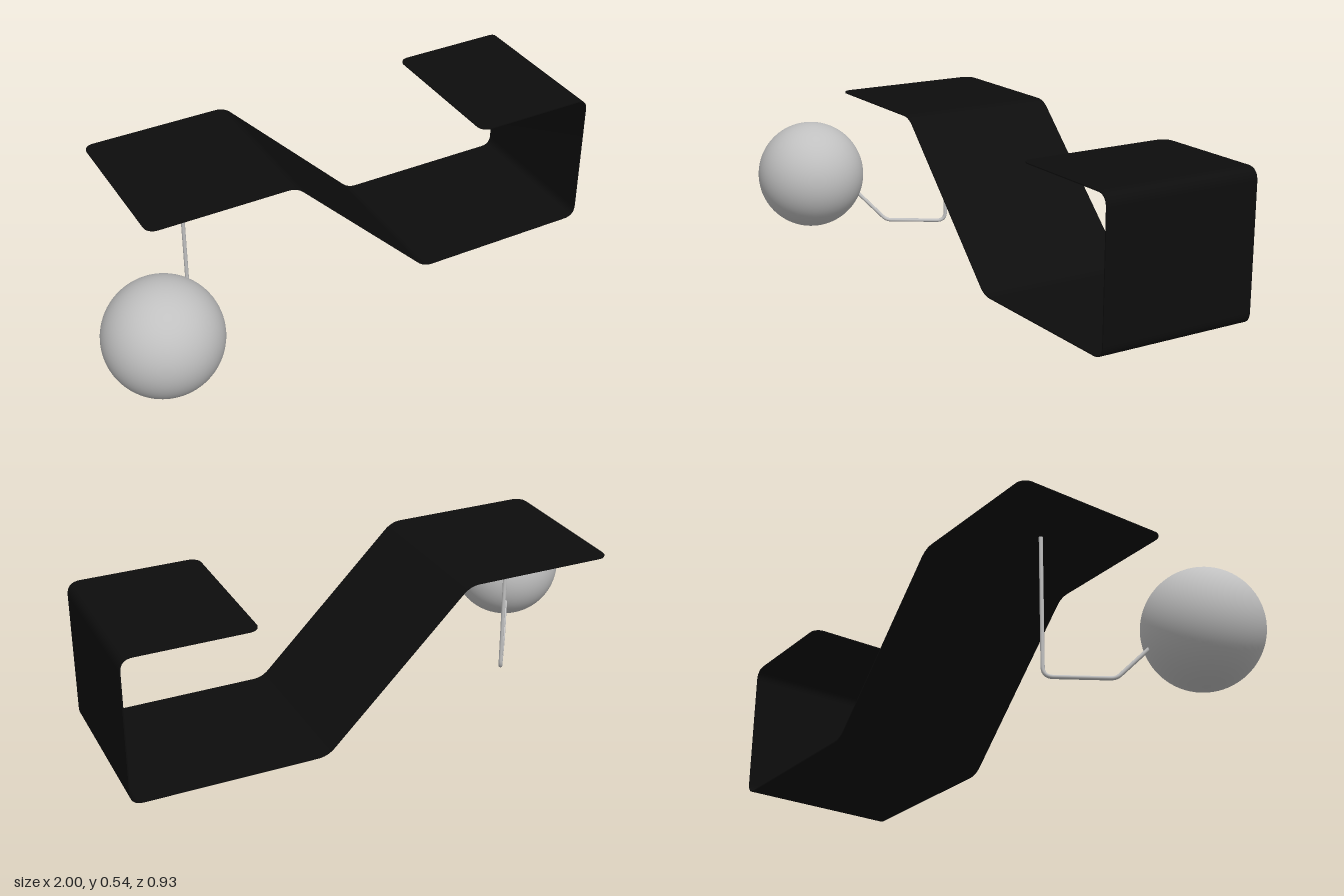
import * as THREE from 'three';

// Curve through corner points, each inner corner rounded by its own tangent length
function roundedPath(pts, trims) {
  const path = new THREE.CurvePath();
  let start = pts[0];
  for (let i = 1; i < pts.length - 1; i++) {
    const p = pts[i], t = trims[i - 1];
    const a = p.clone().add(pts[i - 1].clone().sub(p).setLength(t));
    const b = p.clone().add(pts[i + 1].clone().sub(p).setLength(t));
    path.add(new THREE.LineCurve3(start, a));
    path.add(new THREE.QuadraticBezierCurve3(a, p, b));
    start = b;
  }
  path.add(new THREE.LineCurve3(start, pts[pts.length - 1]));
  return path;
}

// Folded sheet: rectangular cross-sections along the path, corners rounded at both ends
function sheetGeometry(path, zBack, zFront, thickness, cornerR) {
  const sections = []; // { p, inset }
  const curves = path.curves, steps = 8;
  const endSections = (line, fromEnd) => {
    const len = line.getLength(), out = [];
    for (let i = 0; i <= steps; i++) {
      const a = (i / steps) * Math.PI / 2;
      const d = cornerR * (1 - Math.cos(a)) / len;
      out.push({ p: line.getPoint(fromEnd ? 1 - d : d), inset: cornerR * (1 - Math.sin(a)) });
    }
    return fromEnd ? out.reverse() : out;
  };
  sections.push(...endSections(curves[0], false));
  curves.forEach((c) => {
    if (!c.isQuadraticBezierCurve3) return;
    for (let i = 0; i <= 12; i++) sections.push({ p: c.getPoint(i / 12), inset: 0 });
  });
  sections.push(...endSections(curves[curves.length - 1], true));

  const rings = sections.map(({ p, inset }, i) => {
    const prev = sections[Math.max(i - 1, 0)].p;
    const next = sections[Math.min(i + 1, sections.length - 1)].p;
    const t = next.clone().sub(p).normalize().add(p.clone().sub(prev).normalize()).normalize();
    const nx = -t.y * thickness / 2, ny = t.x * thickness / 2;
    const f = zFront - inset, b = zBack + inset;
    return [
      [p.x + nx, p.y + ny, f], [p.x + nx, p.y + ny, b],
      [p.x - nx, p.y - ny, b], [p.x - nx, p.y - ny, f],
    ];
  });

  const pos = [], index = [];
  // four long faces
  for (let k = 0; k < 4; k++) {
    const base = pos.length / 3;
    rings.forEach((r, i) => {
      pos.push(...r[k], ...r[(k + 1) % 4]);
      if (i === rings.length - 1) return;
      const a = base + i * 2;
      index.push(a, a + 2, a + 1, a + 1, a + 2, a + 3);
    });
  }
  // two end caps
  [rings[0], [...rings[rings.length - 1]].reverse()].forEach((r) => {
    const a = pos.length / 3;
    r.forEach((v) => pos.push(...v));
    index.push(a, a + 1, a + 2, a, a + 2, a + 3);
  });

  const geo = new THREE.BufferGeometry();
  geo.setAttribute('position', new THREE.Float32BufferAttribute(pos, 3));
  geo.setIndex(index);
  geo.computeVertexNormals();
  return geo;
}

export function createModel() {
  const black = new THREE.MeshStandardMaterial({ name: 'black sheet', color: 0x0d0d0d });
  const grey = new THREE.MeshStandardMaterial({ name: 'light grey', color: 0xc0c0c0 });
  const V = (x, y, z = 0) => new THREE.Vector3(x, y, z);
  const group = new THREE.Group();
  const add = (name, geo, mat) => {
    const mesh = new THREE.Mesh(geo, mat);
    mesh.name = name;
    group.add(mesh);
    return mesh;
  };

  // folded table sheet: high top, slope, floor, upright, low return shelf
  const profile = roundedPath(
    [V(-0.767, 0.536), V(-0.218, 0.536), V(0.31, 0.008), V(0.998, 0.008), V(0.998, 0.536), V(0.535, 0.536)],
    [0.036, 0.036, 0.045, 0.045],
  );
  add('foldedSheet', sheetGeometry(profile, -0.467, 0.125, 0.004, 0.037), black);

  // ball foot
  const ball = add('ballFoot', new THREE.SphereGeometry(0.208, 64, 48), grey);
  ball.position.set(-0.792, 0.21, 0.259);

  // bent rod from the underside of the top, along the floor and up into the ball
  const rod = roundedPath(
    [V(-0.515, 0.535, -0.2), V(-0.515, 0.016, -0.2), V(-0.645, 0.016, 0), V(-0.72, 0.156, 0.119)],
    [0.035, 0.02],
  );
  add('supportRod', new THREE.TubeGeometry(rod, 140, 0.007, 16, false), grey);

  return group;
}
